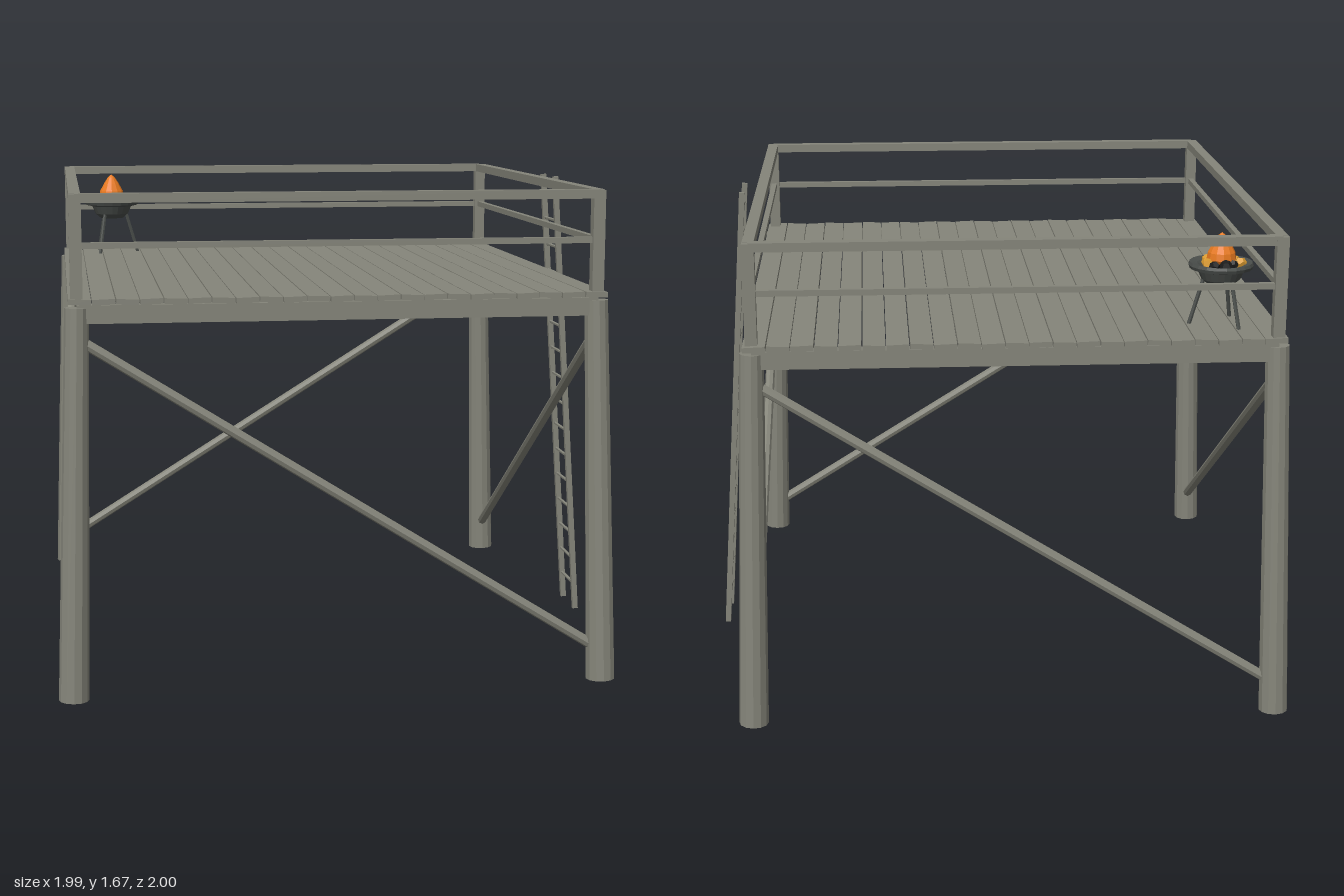
import * as THREE from 'three';

const mat = (color) => new THREE.MeshStandardMaterial({ color, flatShading: true });
const wood = mat(0x85857a), iron = mat(0x4a4e4b), coalMat = mat(0x1c1c1c);
const flameMat = mat(0xe87a20), emberMat = mat(0xd99a30);
const CX = -0.055; // middle of the tower in x
const corners = [[-1, 1], [1, 1], [1, -1], [-1, -1]];

function add(parent, name, geometry, material, x = 0, y = 0, z = 0) {
  const mesh = new THREE.Mesh(geometry, material);
  mesh.name = name;
  mesh.position.set(x, y, z);
  parent.add(mesh);
  return mesh;
}

const box = (parent, name, w, h, d, x, y, z) =>
  add(parent, name, new THREE.BoxGeometry(w, h, d), wood, x, y, z);

// Round bar between two points
function bar(parent, name, a, b, rA, rB, sides, material) {
  const dir = b.clone().sub(a);
  const mesh = add(parent, name, new THREE.CylinderGeometry(rB, rA, dir.length(), sides), material);
  mesh.position.copy(a).add(b).multiplyScalar(0.5);
  mesh.quaternion.setFromUnitVectors(new THREE.Vector3(0, 1, 0), dir.normalize());
  return mesh;
}

// Point on the centre line of a leaning leg
function legPoint([sx, sz], y) {
  const lean = 0.035 * (1 - y / 1.3);
  return new THREE.Vector3(CX + sx * (0.86 + lean), y, sz * (0.915 + lean));
}

function buildFrame() {
  const g = new THREE.Group();
  g.name = 'frame';
  corners.forEach((c, i) => {
    const next = corners[(i + 1) % 4];
    bar(g, 'leg', legPoint(c, 0), legPoint(c, 1.3), 0.05, 0.04, 12, wood);
    bar(g, 'diagonalBrace', legPoint(c, 1.2), legPoint(next, 0.1), 0.018, 0.018, 8, wood);
  });
  for (const s of [-1, 1]) box(g, 'deckBeam', 1.72, 0.06, 0.05, CX, 1.28, s * 0.915);
  return g;
}

function buildDeck() {
  const g = new THREE.Group();
  g.name = 'deck';
  const count = 23, pitch = 1.78 / count;
  for (let i = 0; i < count; i++) {
    // Uneven lengths and a slight alternating tilt
    const length = 1.89 + 0.02 * ((i * 7) % 5) / 4;
    const x = CX + (i - (count - 1) / 2) * pitch;
    const plank = box(g, 'plank', pitch - 0.003, 0.018, length, x, 1.321, 0);
    plank.rotation.z = i % 2 ? 0.04 : -0.04;
  }
  return g;
}

function buildRailing() {
  const g = new THREE.Group();
  g.name = 'railing';
  for (const [sx, sz] of corners) box(g, 'railPost', 0.04, 0.345, 0.04, CX + sx * 0.86, 1.4925, sz * 0.915);
  for (const s of [-1, 1]) {
    for (const [name, y, h, t] of [['topRail', 1.652, 0.03, 0.038], ['middleRail', 1.5, 0.02, 0.02]]) {
      box(g, name, 1.72, h, t, CX, y, s * 0.915);
      box(g, name, t, h, 1.83, CX + s * 0.86, y, 0);
    }
  }
  return g;
}

function buildLadder() {
  const g = new THREE.Group();
  g.name = 'ladder';
  const xAt = (y) => 0.985 - 0.113 * y / 1.665;
  for (const s of [-1, 1]) {
    const rail = box(g, 'ladderRail', 0.02, 1.668, 0.018, xAt(0.8325), 0.8335, s * 0.088);
    rail.rotation.z = Math.atan(0.113 / 1.665);
  }
  for (let i = 1; i <= 16; i++) {
    const y = i * 0.1;
    bar(g, 'rung', new THREE.Vector3(xAt(y), y, -0.088), new THREE.Vector3(xAt(y), y, 0.088), 0.006, 0.006, 6, wood);
  }
  return g;
}

function lathe(points, sides) {
  return new THREE.LatheGeometry(points.map(([r, y]) => new THREE.Vector2(r, y)), sides);
}

function buildBrazier() {
  const g = new THREE.Group();
  g.name = 'brazier';
  g.position.set(-0.75, 1.33, -0.74);
  // Bowl with a wide flat rim
  add(g, 'bowl', lathe([[0, 0.135], [0.045, 0.138], [0.065, 0.155], [0.078, 0.185], [0.105, 0.192],
    [0.109, 0.203], [0.105, 0.213], [0.08, 0.207], [0.06, 0.192], [0, 0.185]], 20), iron);
  // Three splayed feet
  for (let i = 0; i < 3; i++) {
    const a = i * Math.PI * 2 / 3;
    const at = (r, y) => new THREE.Vector3(r * Math.cos(a), y, r * Math.sin(a));
    bar(g, 'brazierFoot', at(0.102, 0), at(0.056, 0.16), 0.007, 0.007, 6, iron);
  }
  // Dark coals at the back, glowing ones at the front
  for (let i = 0; i < 10; i++) {
    const a = i * Math.PI / 5 + 0.2, dark = i > 5 && i < 9;
    const r = 0.048 + 0.008 * (i % 3);
    const coal = add(g, dark ? 'coal' : 'ember', new THREE.DodecahedronGeometry(0.019 + 0.003 * (i % 2)),
      dark ? coalMat : emberMat, r * Math.cos(a), 0.208, r * Math.sin(a));
    coal.rotation.set(i, i * 2, 0);
  }
  // Teardrop flame
  add(g, 'flame', lathe([[0, 0.19], [0.035, 0.2], [0.05, 0.222], [0.046, 0.245], [0.03, 0.275],
    [0.014, 0.3], [0, 0.312]], 12), flameMat);
  return g;
}

export function createModel() {
  const model = new THREE.Group();
  model.name = 'watchPlatform';
  model.add(buildFrame(), buildDeck(), buildRailing(), buildLadder(), buildBrazier());
  return model;
}
